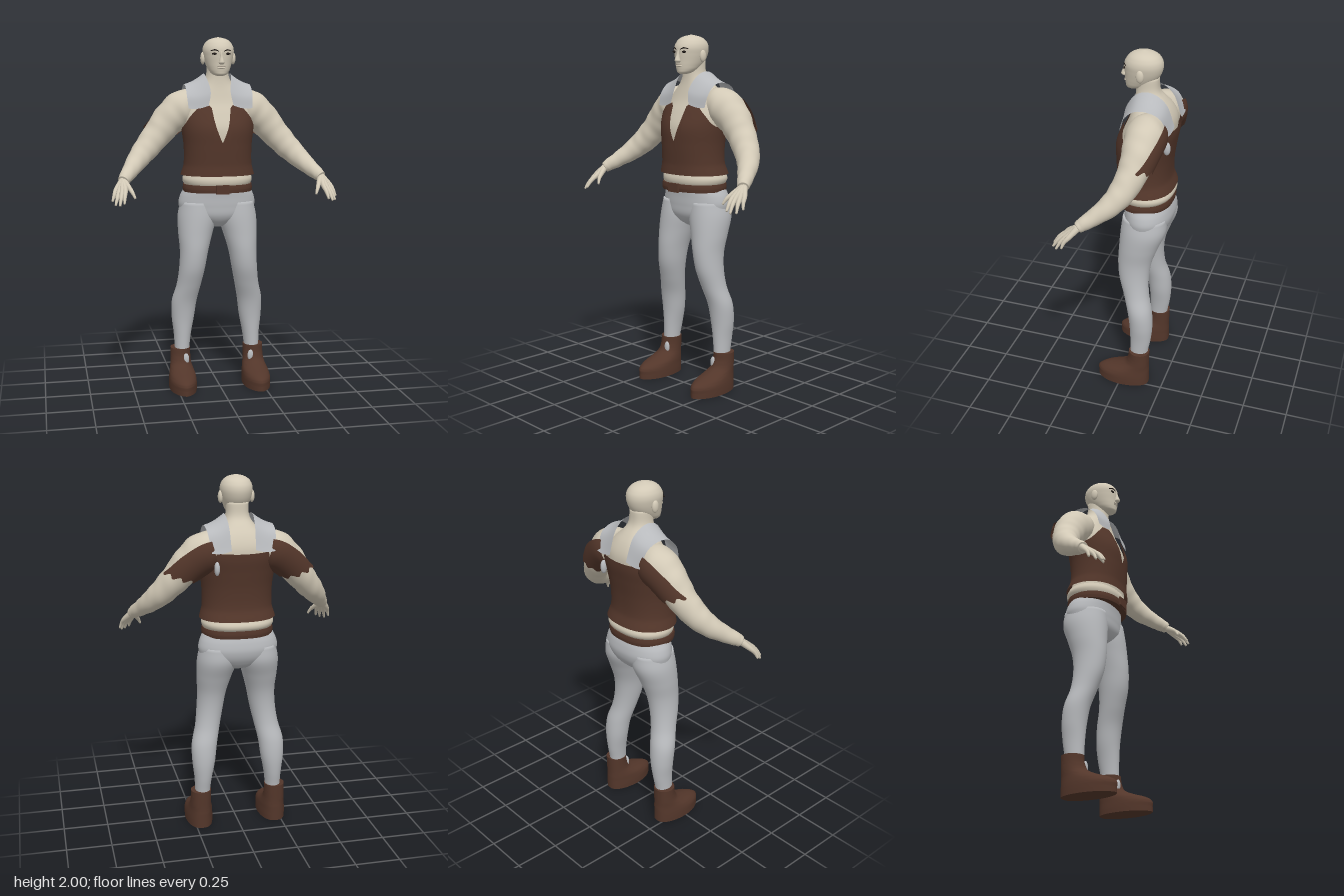
import * as THREE from 'three';
import { mergeVertices, toCreasedNormals } from 'three/addons/utils/BufferGeometryUtils.js';

const mat = (name, color, side = THREE.FrontSide) => {
  const m = new THREE.MeshStandardMaterial({ color, side });
  m.name = name;
  return m;
};

// Grid surface from f(u, v) -> [x, y, z]; the outside is dP/dv x dP/du
function surface(f, nu, nv) {
  const pos = [], index = [], w = nu + 1;
  for (let j = 0; j <= nv; j++)
    for (let i = 0; i <= nu; i++) pos.push(...f(i / nu, j / nv, j));
  for (let j = 0; j < nv; j++)
    for (let i = 0; i < nu; i++) {
      const a = j * w + i;
      index.push(a, a + w, a + 1, a + 1, a + w, a + w + 1);
    }
  let g = new THREE.BufferGeometry();
  g.setAttribute('position', new THREE.Float32BufferAttribute(pos, 3));
  g.setIndex(index);
  g = mergeVertices(g, 1e-5);
  g.computeVertexNormals();
  return g;
}

// Smooth profile through rows [y, centreX, halfWidth, frontZ, backZ], lowest first
function profile(rows) {
  const spline = new THREE.CubicInterpolant(
    rows.map((r) => r[0]), rows.flatMap((r) => r.slice(1)), 4, new Float32Array(4));
  return (y) => Array.from(spline.evaluate(y));
}

// Point on a rounded horizontal ring; powers below 1 are boxier, above 1 more pointed
function ringPoint([cx, rx, front, back], y, a, pf, pb, grow = 0) {
  const c = Math.cos(a), s = Math.sin(a);
  const p = s > 0 ? pf : pb;
  const x = Math.sign(c) * Math.pow(Math.abs(c), p) * (rx + grow);
  return [cx + x, y, (front + back) / 2 + s * ((front - back) / 2 + grow)];
}

// Closed upright body made of rings
function loft(rows, pf = 1, pb = 1, nu = 40, nv = 44) {
  const at = profile(rows), y0 = rows[0][0], y1 = rows[rows.length - 1][0];
  return surface((u, v, j) => {
    const k = THREE.MathUtils.clamp((j - 1) / (nv - 2), 0, 1);
    const y = y0 + (y1 - y0) * k, r = at(y);
    if (j === 0 || j === nv) return [r[0], y, (r[2] + r[3]) / 2];
    return ringPoint(r, y, u * Math.PI * 2, pf, pb);
  }, nu, nv);
}

// Point function for a limb through [x, y, z, radius]; angle 0 faces back, + turns upward
function limbPoint(pts) {
  const curve = new THREE.CatmullRomCurve3(pts.map((p) => new THREE.Vector3(p[0], p[1], p[2])));
  const radius = new THREE.CatmullRomCurve3(pts.map((p) => new THREE.Vector3(p[3], 0, 0)));
  return (t, a, scale = 1, grow = 0) => {
    const c = curve.getPoint(t), T = curve.getTangent(t), r = radius.getPoint(t).x * scale + grow;
    const e1 = new THREE.Vector3(0, 0, -1);
    e1.addScaledVector(T, -e1.dot(T)).normalize();
    const e2 = new THREE.Vector3().crossVectors(T, e1);
    return c.addScaledVector(e1, r * Math.cos(a)).addScaledVector(e2, r * Math.sin(a)).toArray();
  };
}

function limb(pts, nu = 12, nv = 16, wrinkle = 0) {
  const f = limbPoint(pts);
  return surface((u, v, j) => {
    const t = THREE.MathUtils.clamp((j - 1) / (nv - 2), 0, 1), a = -u * Math.PI * 2;
    const w = 1 + wrinkle * Math.sin(t * 55 + 2 * Math.sin(a)) * Math.sin(a * 2 + t * 9);
    return f(t, a, j === 0 || j === nv ? 0 : w);
  }, nu, nv);
}

function blob(x, y, z, sx, sy, sz) {
  return new THREE.SphereGeometry(1, 20, 14).scale(sx, sy, sz).translate(x, y, z);
}

function mirrored(geo) {
  const g = geo.clone().scale(-1, 1, 1), ix = g.index.array;
  for (let i = 0; i < ix.length; i += 3) [ix[i], ix[i + 1]] = [ix[i + 1], ix[i]];
  return g;
}

// Piecewise-linear table lookup
function table(pts, x) {
  for (let i = 1; i < pts.length; i++)
    if (x <= pts[i][0]) {
      const [a, b] = [pts[i - 1], pts[i]];
      return a[1] + (b[1] - a[1]) * (x - a[0]) / (b[0] - a[0]);
    }
  return pts[pts.length - 1][1];
}

export function createModel() {
  const model = new THREE.Group();
  model.name = 'figure';
  const cream = mat('cream', 0xd2c9b6);
  const brown = mat('brown leather', 0x53362a, THREE.DoubleSide);
  const grey = mat('grey cloth', 0xb8babd, THREE.DoubleSide);
  const dark = mat('dark', 0x211b18);
  const lip = mat('lip', 0xa5988a);

  const add = (name, geo, material, crease) => {
    const mesh = new THREE.Mesh(crease ? toCreasedNormals(geo, crease) : geo, material);
    mesh.name = name;
    model.add(mesh);
  };
  const pair = (name, geo, material, crease) => {
    add(name + 'Left', geo, material, crease);
    add(name + 'Right', mirrored(geo), material, crease);
  };

  // Torso and neck
  const torsoRows = [
    [1.16, 0, 0.185, 0.05, -0.215], [1.22, 0, 0.19, 0.055, -0.222], [1.3, 0, 0.178, 0.058, -0.205],
    [1.4, 0, 0.178, 0.063, -0.207], [1.5, 0, 0.19, 0.062, -0.222], [1.58, 0, 0.198, 0.034, -0.235],
    [1.64, 0, 0.185, 0.008, -0.232], [1.7, 0, 0.135, -0.008, -0.208], [1.74, 0, 0.092, -0.016, -0.18],
    [1.78, 0, 0.067, -0.02, -0.15], [1.86, 0, 0.06, -0.02, -0.14]];
  add('torso', loft(torsoRows, 0.85, 0.8, 56, 64), cream);
  add('shirtHem', loft([
    [1.175, 0, 0.185, 0.055, -0.22], [1.19, 0, 0.195, 0.062, -0.235], [1.21, 0, 0.2, 0.064, -0.24],
    [1.235, 0, 0.192, 0.058, -0.23]], 0.85, 0.8, 56, 16), cream);

  // Head
  add('head', loft([
    [1.788, 0, 0.018, 0.025, -0.02], [1.795, 0, 0.036, 0.034, -0.05], [1.81, 0, 0.052, 0.038, -0.085],
    [1.835, 0, 0.065, 0.041, -0.12], [1.86, 0, 0.074, 0.042, -0.142], [1.895, 0, 0.083, 0.044, -0.158],
    [1.93, 0, 0.087, 0.044, -0.162], [1.957, 0, 0.08, 0.032, -0.153], [1.98, 0, 0.062, 0.01, -0.13],
    [1.993, 0, 0.037, -0.018, -0.098], [2, 0, 0.006, -0.052, -0.065]], 1, 1, 48, 60), cream);
  add('nose', loft([
    [1.85, 0, 0.008, 0.052, 0.03], [1.857, 0, 0.017, 0.065, 0.03], [1.868, 0, 0.014, 0.064, 0.03],
    [1.89, 0, 0.009, 0.055, 0.03], [1.92, 0, 0.008, 0.047, 0.03]], 1.2, 1, 16, 16), cream);
  add('lips', blob(0, 1.832, 0.038, 0.023, 0.006, 0.007), cream);
  add('mouthLine', blob(0, 1.838, 0.039, 0.022, 0.0025, 0.006), lip);
  pair('ear', blob(0.086, 1.885, -0.062, 0.014, 0.034, 0.021), cream);
  pair('eye', blob(0.035, 1.908, 0.035, 0.018, 0.006, 0.006), dark);
  pair('eyebrow', limb([[0.014, 1.921, 0.043, 0.002], [0.035, 1.929, 0.037, 0.0035],
    [0.057, 1.924, 0.02, 0.002]], 8, 10), dark);

  // Arms and hands
  const armPts = [
    [0.1, 1.63, -0.125, 0.085], [0.19, 1.605, -0.125, 0.105], [0.265, 1.55, -0.12, 0.094],
    [0.335, 1.47, -0.105, 0.08], [0.4, 1.395, -0.075, 0.071], [0.455, 1.335, -0.03, 0.06],
    [0.505, 1.28, 0.04, 0.046], [0.542, 1.242, 0.098, 0.036], [0.555, 1.228, 0.118, 0.03]];
  pair('arm', limb(armPts, 32, 72, 0.025), cream);
  const fingers = [
    ['indexFinger', [0.55, 1.185, 0.185], [0.562, 1.12, 0.248]],
    ['middleFinger', [0.567, 1.179, 0.185], [0.585, 1.11, 0.246]],
    ['ringFinger', [0.583, 1.177, 0.172], [0.606, 1.11, 0.222]],
    ['littleFinger', [0.597, 1.185, 0.153], [0.62, 1.127, 0.187]],
    ['thumb', [0.527, 1.195, 0.168], [0.5, 1.143, 0.212]]];
  for (const [name, k, tip] of fingers) {
    const mid = k.map((n, i) => (n + tip[i]) / 2);
    pair(name, limb([[0.556, 1.232, 0.112, 0.02], [...k, 0.0135], [mid[0], mid[1] + 0.004, mid[2] + 0.004, 0.0105],
      [...tip, 0.006]], 10, 16), cream);
  }

  // Vest: shell over the torso with a shaped top edge
  const torsoAt = profile(torsoRows);
  const frontEdge = [[0, 1.42], [0.14, 1.52], [0.19, 1.61], [0.27, 1.628], [0.52, 1.62], [0.78, 1.56], [1, 1.5]];
  const backEdge = [[0, 1.605], [0.6, 1.61], [0.85, 1.6], [1, 1.5]];
  add('vest', surface((u, v) => {
    const a = u * Math.PI * 2, c = Math.abs(Math.cos(a));
    const top = table(Math.sin(a) > 0 ? frontEdge : backEdge, c);
    const y = 1.235 + (top - 1.235) * v;
    return ringPoint(torsoAt(y), y, a, 0.85, 0.8, 0.016 + 0.006 * Math.max(0, (1.29 - y) / 0.055));
  }, 160, 32), brown);

  // Torn sleeve backs hanging off the shoulders
  const armAt = limbPoint(armPts);
  pair('sleeveBack', surface((u, v) => {
    const end = 0.3 + 0.09 * (1 - u) + 0.012 * Math.sin(u * 25);
    const t = 0.07 + (end - 0.07) * v;
    const high = 0.55 + 0.55 * v * v;
    return armAt(t, high - u * (high + 1.25), 1, 0.013);
  }, 28, 24), brown);

  // Wide collar bands over the shoulders
  const line = (pts) => new THREE.CatmullRomCurve3(pts.map((p) => new THREE.Vector3(...p)));
  const inner = line([[0.07, 1.625, 0.034], [0.056, 1.7, 0.02], [0.072, 1.785, -0.045],
    [0.075, 1.8, -0.12], [0.07, 1.75, -0.197], [0.065, 1.625, -0.247]]);
  const outer = line([[0.18, 1.61, 0.02], [0.186, 1.68, -0.002], [0.186, 1.733, -0.06],
    [0.186, 1.74, -0.13], [0.182, 1.71, -0.2], [0.17, 1.615, -0.243]]);
  pair('collar', surface((u, v) => {
    const p = inner.getPoint(1 - u).lerp(outer.getPoint(1 - u), 1 - v);
    p.y -= 0.008 * Math.sin(v * Math.PI);
    return p.toArray();
  }, 36, 10), grey);

  // Belt and buckle
  add('belt', loft([
    [1.14, 0, 0.196, 0.07, -0.232], [1.16, 0, 0.199, 0.073, -0.236], [1.182, 0, 0.196, 0.07, -0.234]],
    0.85, 0.8, 56, 10), brown, 0.8);
  add('buckle', new THREE.BoxGeometry(0.075, 0.05, 0.012).translate(0, 1.162, 0.08), brown);

  // Trousers
  add('hips', loft([
    [0.935, 0, 0.03, -0.04, -0.11], [0.96, 0, 0.1, -0.005, -0.175], [1, 0, 0.19, 0.022, -0.215],
    [1.06, 0, 0.221, 0.03, -0.238], [1.11, 0, 0.214, 0.032, -0.234], [1.15, 0, 0.195, 0.035, -0.222]],
    0.9, 0.85, 48, 36), grey);
  pair('leg', loft([
    [0.17, 0.208, 0.042, -0.05, -0.152], [0.22, 0.207, 0.043, -0.051, -0.156], [0.3, 0.204, 0.05, -0.05, -0.17],
    [0.4, 0.2, 0.065, -0.045, -0.178], [0.5, 0.193, 0.072, -0.03, -0.17], [0.6, 0.17, 0.07, 0, -0.146],
    [0.7, 0.153, 0.074, 0.03, -0.14], [0.8, 0.141, 0.081, 0.04, -0.152], [0.9, 0.13, 0.098, 0.036, -0.186],
    [1, 0.115, 0.112, 0.03, -0.224], [1.08, 0.11, 0.1, 0.02, -0.222]], 0.95, 0.95, 36, 60), grey);

  // Boots, with the cloth showing at the front of each ankle
  pair('boot', loft([
    [0, 0.217, 0.077, 0.145, -0.165], [0.03, 0.217, 0.078, 0.145, -0.165], [0.06, 0.217, 0.077, 0.143, -0.165],
    [0.085, 0.216, 0.073, 0.105, -0.165], [0.105, 0.216, 0.067, 0.045, -0.164], [0.13, 0.217, 0.061, -0.012, -0.164],
    [0.17, 0.217, 0.058, -0.038, -0.165], [0.22, 0.217, 0.058, -0.045, -0.166]], 1.2, 0.8, 40, 36), brown, 0.9);
  pair('anklePatch', blob(0.192, 0.16, -0.046, 0.018, 0.034, 0.012), grey);
  add('backPatch', blob(0.14, 1.53, -0.228, 0.015, 0.038, 0.02), grey);

  return model;
}
